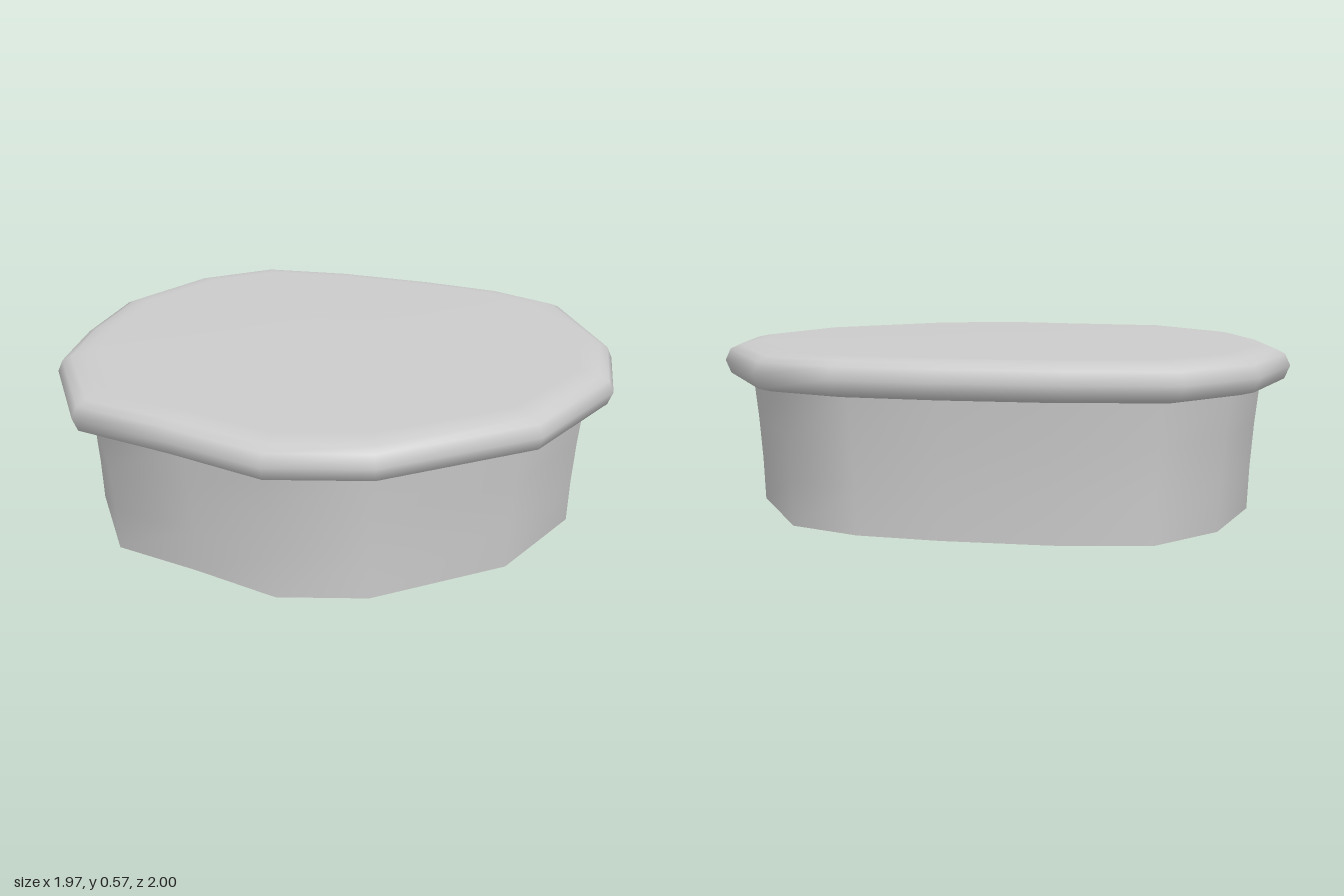
import * as THREE from 'three';

// Irregular hand-cut outline at full width, as [x, z], shared by lid and wall
const OUTLINE = [
  [-0.53, -1.0], [-0.175, -0.995], [0.215, -0.93], [0.525, -0.85],
  [0.78, -0.70], [0.98, -0.21], [0.985, 0.155], [0.77, 0.60],
  [0.305, 0.935], [-0.03, 0.995], [-0.37, 0.865], [-0.72, 0.75],
  [-0.95, 0.335], [-0.985, 0], [-0.975, -0.395], [-0.79, -0.79],
];

// Lofts the outline through [scale, y] rings; optionally closes the last ring
function loft(rings, closed) {
  const n = OUTLINE.length;
  const positions = [];
  const index = [];
  for (const [s, y] of rings) {
    for (const [x, z] of OUTLINE) positions.push(x * s, y, z * s);
  }
  for (let k = 0; k < rings.length - 1; k++) {
    for (let i = 0; i < n; i++) {
      const j = (i + 1) % n;
      const a = k * n + i, b = k * n + j, c = a + n, d = b + n;
      index.push(a, c, b, b, c, d);
    }
  }
  if (closed) {
    const last = (rings.length - 1) * n;
    const centre = rings.length * n;
    positions.push(0, rings[rings.length - 1][1], 0);
    for (let i = 0; i < n; i++) index.push(last + i, centre, last + (i + 1) % n);
  }
  const geometry = new THREE.BufferGeometry();
  geometry.setAttribute('position', new THREE.Float32BufferAttribute(positions, 3));
  geometry.setIndex(index);
  geometry.computeVertexNormals();
  return geometry;
}

export function createModel() {
  const group = new THREE.Group();
  const material = new THREE.MeshStandardMaterial({ color: 0xcccccc, side: THREE.DoubleSide });
  const add = (name, geometry) => {
    const mesh = new THREE.Mesh(geometry, material);
    mesh.name = name;
    group.add(mesh);
  };

  // Thin flared wall, open at the bottom
  add('wall', loft([[0.873, 0], [0.879, 0.15], [0.89, 0.3], [0.905, 0.445]], false));

  // Hollow lid with a rounded, overhanging rim and a flat top
  add('lid', loft([
    [0.895, 0.442], [0.94, 0.448], [0.982, 0.46], [1.0, 0.505],
    [0.982, 0.545], [0.95, 0.56], [0.91, 0.568], [0.87, 0.57],
  ], true));

  return group;
}
